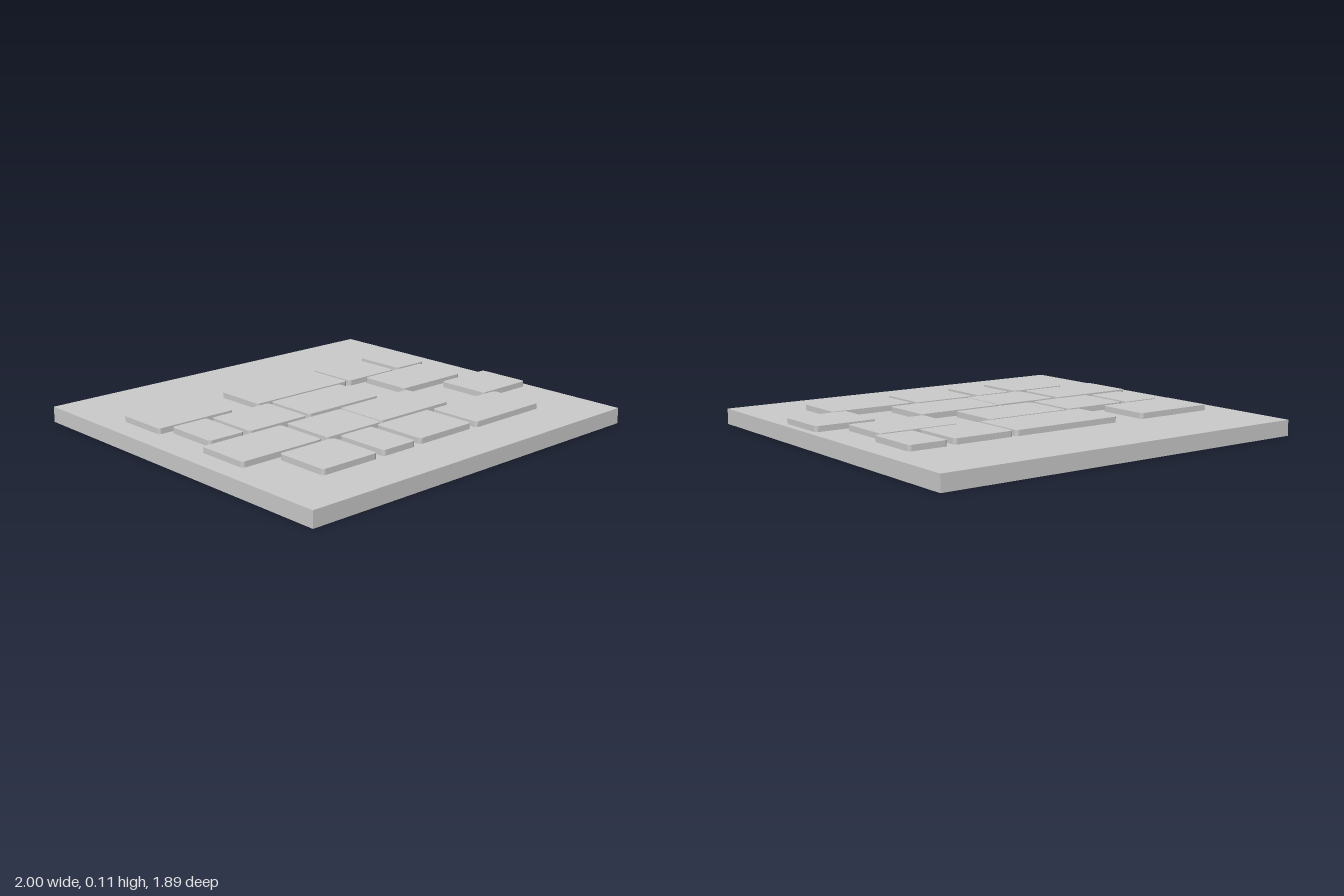
import * as THREE from 'three';

const SLAB_TOP = 0.078, STONE_TOP = 0.106, DEPTH = 0.28, CORNER = 0.016;

// Each row of stones: [x from, x to, z centre]
const ROWS = [
  [[-0.882, -0.452, -0.375], [-0.30, 0.295, -0.37], [0.31, 0.628, -0.367], [0.668, 0.866, -0.374]],
  [[-0.822, -0.624, -0.077], [-0.60, -0.255, -0.066], [-0.23, 0.225, -0.075], [0.412, 0.824, -0.075]],
  [[-0.892, -0.437, 0.24], [-0.404, -0.062, 0.24], [-0.054, 0.404, 0.23], [0.646, 0.964, 0.248]],
  [[-0.705, -0.388, 0.542], [-0.346, -0.148, 0.539], [-0.11, 0.23, 0.534], [0.258, 0.709, 0.542]],
];

// Flat block with rounded vertical corners, lying on y = 0
function stoneGeometry(w, d, h, r) {
  const x = w / 2, y = d / 2;
  const shape = new THREE.Shape();
  shape.absarc(x - r, y - r, r, 0, Math.PI / 2);
  shape.absarc(-x + r, y - r, r, Math.PI / 2, Math.PI);
  shape.absarc(-x + r, -y + r, r, Math.PI, Math.PI * 1.5);
  shape.absarc(x - r, -y + r, r, Math.PI * 1.5, Math.PI * 2);
  return new THREE.ExtrudeGeometry(shape, { depth: h, bevelEnabled: false, curveSegments: 4 })
    .rotateX(-Math.PI / 2);
}

export function createModel() {
  const model = new THREE.Group();
  model.name = 'pavedSlab';
  const material = new THREE.MeshStandardMaterial({ color: 0xcccccc });

  // Ground slab
  const slab = new THREE.Mesh(new THREE.BoxGeometry(2, SLAB_TOP, 1.89), material);
  slab.name = 'slab';
  slab.position.y = SLAB_TOP / 2;
  model.add(slab);

  // Paving stones, sunk slightly into the slab
  const sink = 0.01;
  ROWS.forEach((row, i) => {
    const group = new THREE.Group();
    group.name = `stoneRow${i + 1}`;
    row.forEach(([x0, x1, z], j) => {
      const stone = new THREE.Mesh(stoneGeometry(x1 - x0, DEPTH, STONE_TOP - SLAB_TOP + sink, CORNER), material);
      stone.name = `pavingStone${i + 1}_${j + 1}`;
      stone.position.set((x0 + x1) / 2, SLAB_TOP - sink, z);
      group.add(stone);
    });
    model.add(group);
  });

  return model;
}
